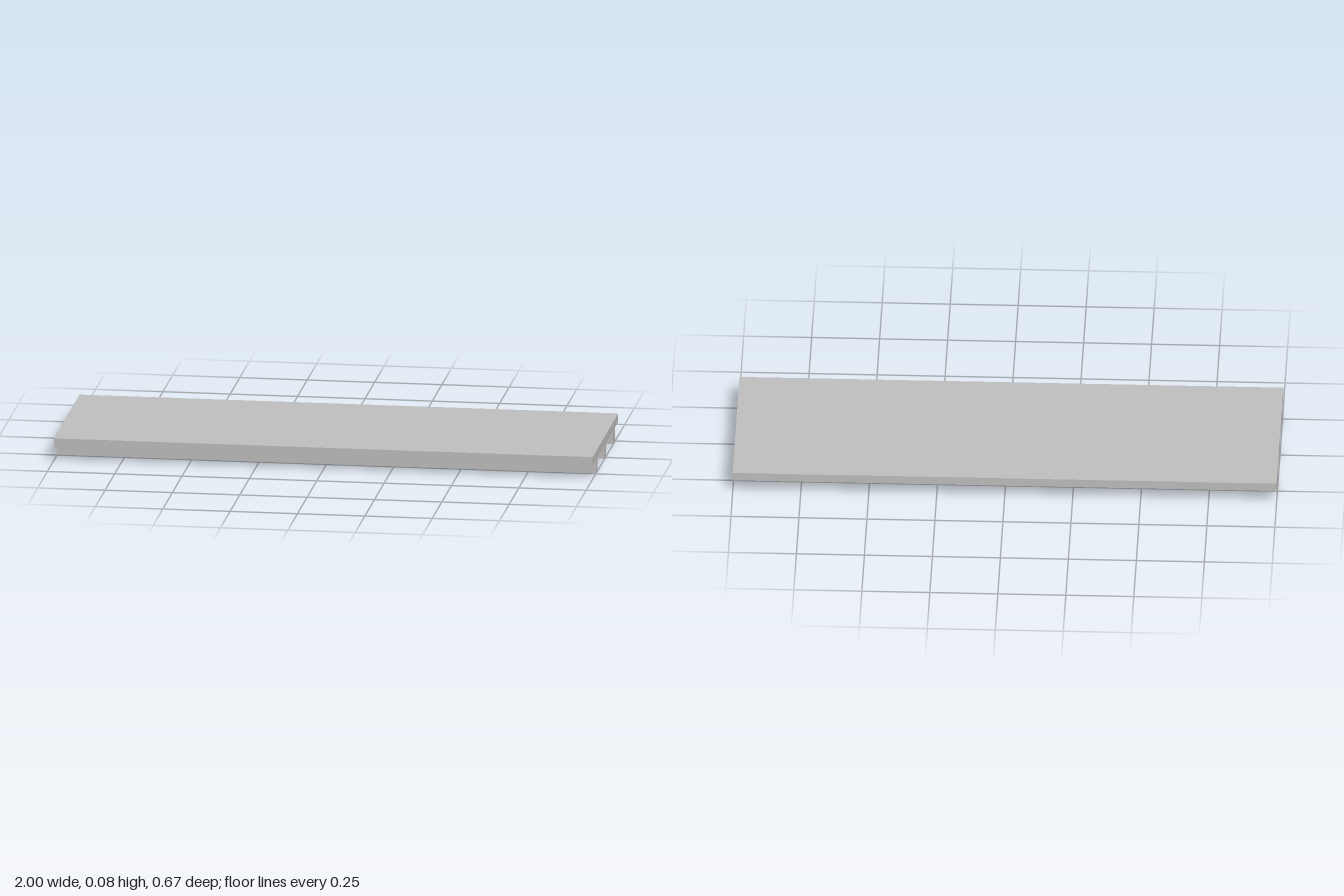
import * as THREE from 'three';

export function createModel() {
  const group = new THREE.Group();
  group.name = 'ribbedPanel';
  const grey = new THREE.MeshStandardMaterial({ color: 0xc0c0c0 });
  grey.name = 'light grey';

  const length = 2, halfWidth = 0.333, top = 0.084, underside = 0.052;
  const ribWidth = 0.043, ribCentres = [-0.222, 0, 0.222];

  // Cross-section: flat deck with three square ribs below
  const profile = new THREE.Shape();
  profile.moveTo(-halfWidth, underside);
  for (const c of ribCentres) {
    const a = c - ribWidth / 2, b = c + ribWidth / 2;
    profile.lineTo(a, underside);
    profile.lineTo(a, 0);
    profile.lineTo(b, 0);
    profile.lineTo(b, underside);
  }
  profile.lineTo(halfWidth, underside);
  profile.lineTo(halfWidth, top);
  profile.lineTo(-halfWidth, top);
  profile.closePath();

  // Run the section along x
  const geometry = new THREE.ExtrudeGeometry(profile, { depth: length, bevelEnabled: false });
  geometry.translate(0, 0, -length / 2).rotateY(Math.PI / 2);
  const panel = new THREE.Mesh(geometry, grey);
  panel.name = 'deckWithRibs';
  group.add(panel);
  return group;
}
